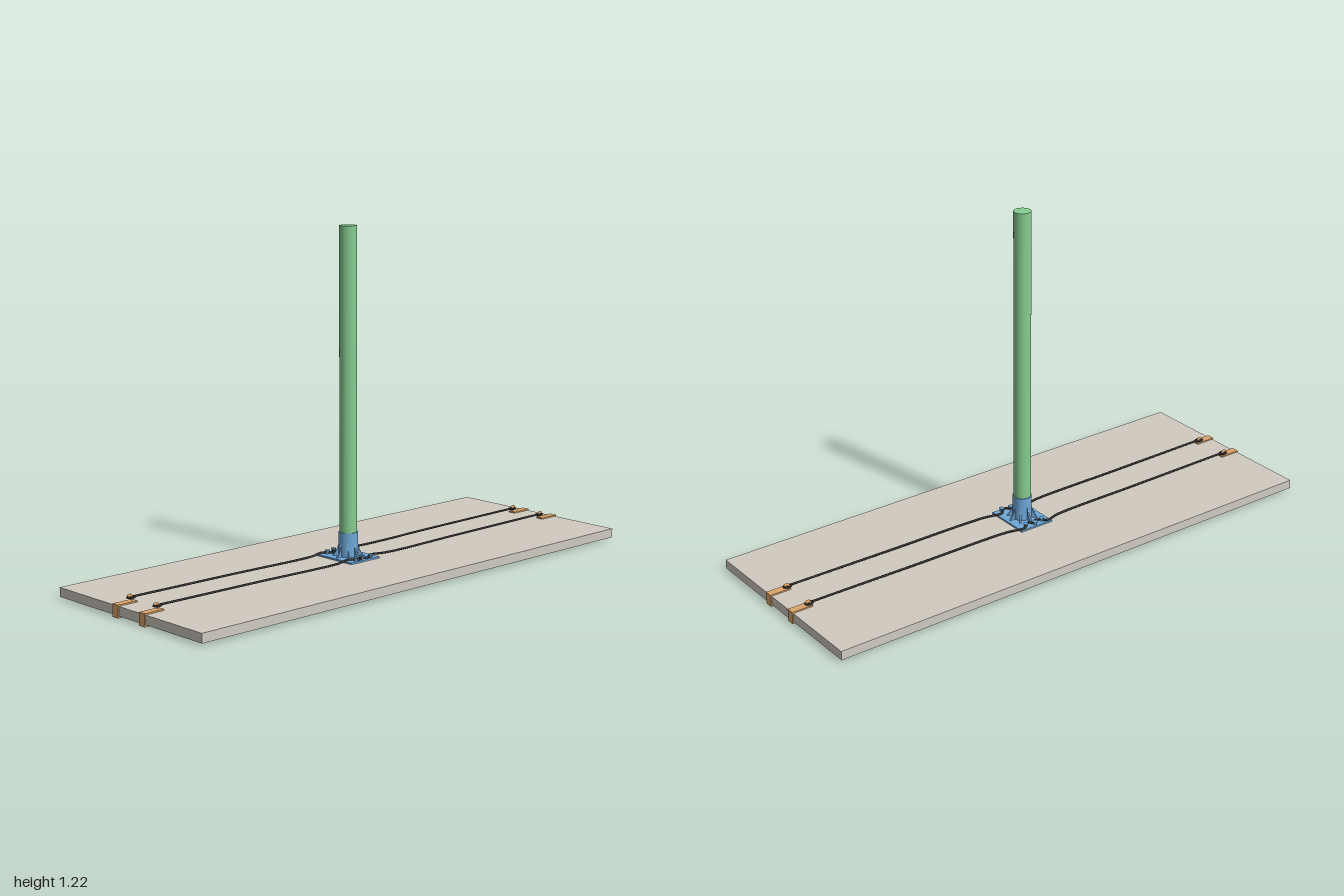
import * as THREE from 'three';

const mat = (color) => new THREE.MeshStandardMaterial({ color });

export function createModel() {
  const model = new THREE.Group();
  const stone = mat(0xd0cac0), green = mat(0x86cc90), blue = mat(0x6fa8d8);
  const orange = mat(0xdca56c), dark = mat(0x333333);
  const CX = -0.002, CZ = 0.015; // axis of the post

  const add = (parent, name, geo, material, x = 0, y = 0, z = 0) => {
    const mesh = new THREE.Mesh(geo, material);
    mesh.name = name;
    mesh.position.set(x, y, z);
    parent.add(mesh);
    return mesh;
  };
  const box = (parent, name, m, w, h, d, x, y, z) =>
    add(parent, name, new THREE.BoxGeometry(w, h, d), m, x, y, z);

  // Board
  box(model, 'board', stone, 0.746, 0.033, 1.992, 0, 0.0235, 0);

  // Post
  add(model, 'post', new THREE.CylinderGeometry(0.031, 0.031, 1.172, 48), green, CX, 0.631, CZ);

  // Foot: plate, socket and ribs
  const foot = new THREE.Group();
  foot.name = 'foot';
  foot.position.set(CX, 0.04, CZ);
  model.add(foot);
  box(foot, 'footPlate', blue, 0.176, 0.006, 0.136, 0, 0.003, 0);
  const socket = [[0.0305, 0.004], [0.035, 0.004], [0.035, 0.093], [0.0305, 0.093]];
  add(foot, 'socket', new THREE.CylinderGeometry(0.0345, 0.0345, 0.0885, 48, 1, true), blue, 0, 0.04875, 0);
  add(foot, 'socketRim', new THREE.RingGeometry(socket[0][0], 0.0345, 48), blue, 0, 0.093, 0)
    .rotation.x = -Math.PI / 2;

  // Concave ribs around the socket
  const rib = new THREE.Shape();
  rib.moveTo(0.03, 0.004);
  rib.lineTo(0.058, 0.004);
  rib.quadraticCurveTo(0.038, 0.022, 0.0345, 0.055);
  rib.lineTo(0.03, 0.055);
  const ribGeo = new THREE.ExtrudeGeometry(rib, { depth: 0.006, bevelEnabled: false, curveSegments: 10 });
  ribGeo.translate(0, 0, -0.003);
  for (let i = 0; i < 8; i++) {
    add(foot, 'rib', ribGeo, blue).rotation.y = (i * Math.PI) / 4;
  }

  // Cleats along both edges of the plate, which the cords weave through
  const cleat = new THREE.LatheGeometry(
    [[0.006, 0.004], [0.006, 0.014], [0.009, 0.016], [0.009, 0.019], [0, 0.019]]
      .map(([r, y]) => new THREE.Vector2(r, y)), 16);
  for (const s of [-1, 1]) {
    for (const k of [-1, 0, 1]) {
      add(foot, 'cleat', cleat, blue, s * 0.073 + (k ? 0.004 : -0.004), 0, k * 0.036);
    }
  }

  // Edge clip: wraps the board end and carries a hook
  const clipShape = new THREE.Shape(
    [[1, 0], [1, 0.045], [0.92, 0.045], [0.92, 0.04], [0.9955, 0.04],
      [0.9955, 0.007], [0.96, 0.007], [0.96, 0]].map(([z, y]) => new THREE.Vector2(z, y)));
  const clipGeo = new THREE.ExtrudeGeometry(clipShape, { depth: 0.029, bevelEnabled: false });
  clipGeo.translate(0, 0, -0.0145);
  const hookCurve = new THREE.CatmullRomCurve3([
    [0.926, 0.042], [0.926, 0.054], [0.931, 0.061], [0.939, 0.06],
  ].map(([z, y]) => new THREE.Vector3(z, y, 0)));
  const hookGeo = new THREE.TubeGeometry(hookCurve, 14, 0.005, 10);
  const tipGeo = new THREE.SphereGeometry(0.005, 10, 8);

  // Cords: run end to end, bending around the cleats
  const cordPoints = [
    [0, 0.055, -0.92], [0, 0.052, -0.5], [0, 0.049, -0.11], [-0.014, 0.05, -0.035],
    [0.004, 0.05, -0.017], [0.01, 0.05, 0], [-0.009, 0.05, 0.015], [0.01, 0.05, 0.03],
    [0.004, 0.05, 0.047], [-0.014, 0.05, 0.065],
    [0, 0.049, 0.13], [0, 0.052, 0.5], [0, 0.055, 0.92],
  ];
  for (const [cordX, clipX] of [[-0.07, -0.063], [0.068, 0.077]]) {
    const path = new THREE.CatmullRomCurve3(
      cordPoints.map(([x, y, z]) => new THREE.Vector3(cordX + x, y, z)), false, 'centripetal');
    add(model, 'cord', new THREE.TubeGeometry(path, 300, 0.004, 8), dark);

    for (const end of [-1, 1]) {
      const clip = new THREE.Group();
      clip.name = 'edgeClip';
      clip.rotation.y = (-end * Math.PI) / 2;
      clip.position.x = clipX;
      model.add(clip);
      const side = (cordX - clipX) * end; // local z points to -x or +x by end
      add(clip, 'clipBody', clipGeo, orange);
      add(clip, 'hook', hookGeo, orange, 0, 0, -side);
      add(clip, 'hookTip', tipGeo, orange, 0.939, 0.06, -side);

      // Cord loop around the hook
      const loop = add(model, 'cordLoop', new THREE.TorusGeometry(0.0095, 0.0035, 8, 24), dark,
        cordX, 0.054, end * 0.929);
      loop.rotation.x = Math.PI / 2;
      loop.scale.y = 1.4;
    }
  }
  return model;
}
